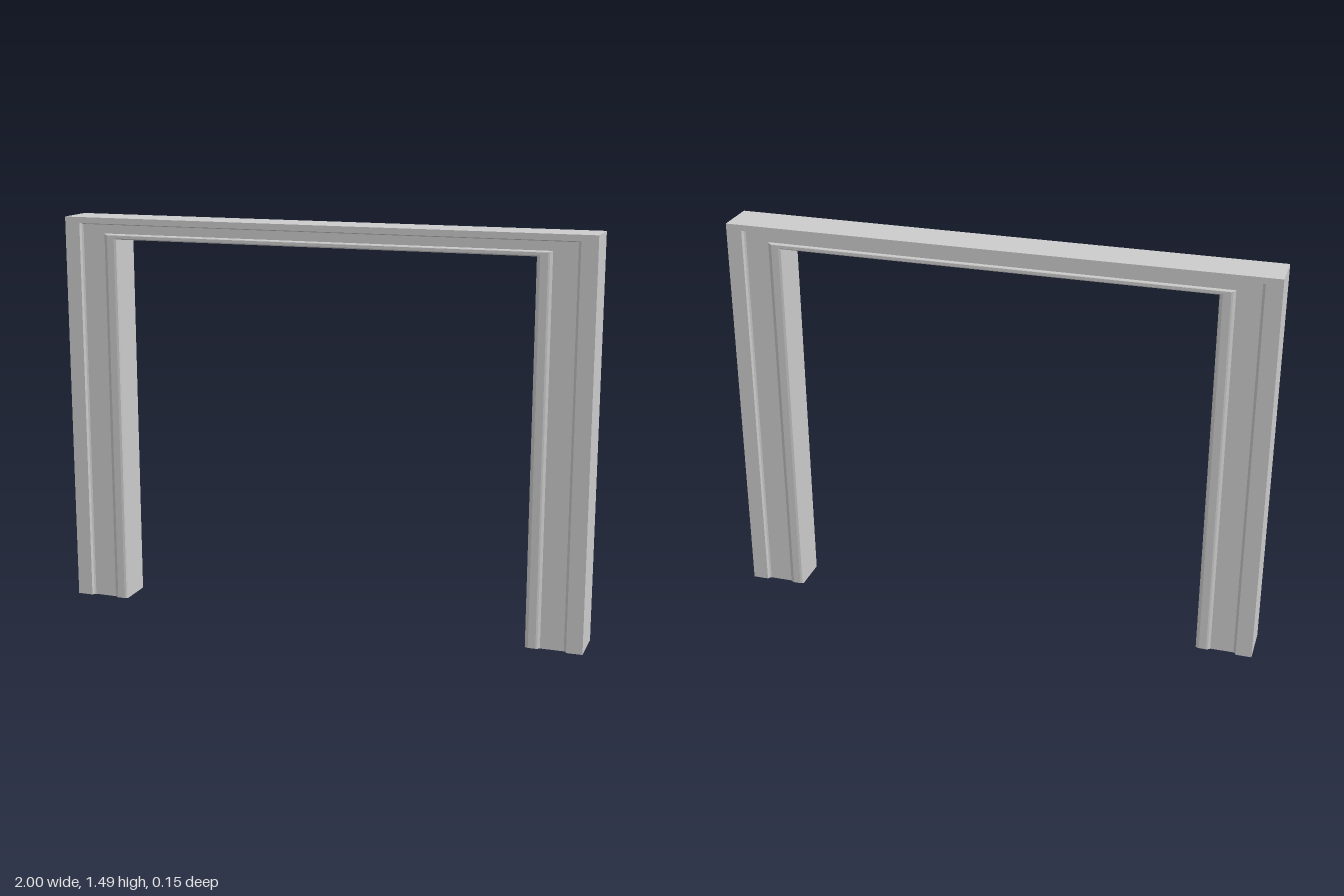
import * as THREE from 'three';

// Moulding from the opening (u = 0) to the outer edge (u = 1), with its half depth
const FRONT = [
  [0, 0.066], [0.02, 0.071], [0.06, 0.073], [0.19, 0.073], [0.22, 0.071],
  [0.26, 0.064], [0.67, 0.064], [0.7, 0.067], [0.72, 0.077], [1, 0.077],
];
const PROFILE = [...FRONT, ...FRONT.map(([u, z]) => [u, -z]).reverse()];
const INNER_X = 0.79, LEG_WIDTH = 0.21;
const INNER_Y = 1.405, HEAD_HEIGHT = 0.08;

// Place the profile at the foot or at the mitred corner of one side
function section(side, atTop) {
  return PROFILE.map(([u, z]) => new THREE.Vector3(
    side * (INNER_X + LEG_WIDTH * u), atTop ? INNER_Y + HEAD_HEIGHT * u : 0, z));
}

// Skin two sections with separate flat faces, open at both ends
function member(name, from, to, material) {
  const points = [];
  from.forEach((a, i) => {
    const j = (i + 1) % from.length;
    points.push(a, from[j], to[j], a, to[j], to[i]);
  });
  const geometry = new THREE.BufferGeometry().setFromPoints(points);
  geometry.computeVertexNormals();
  const mesh = new THREE.Mesh(geometry, material);
  mesh.name = name;
  return mesh;
}

export function createModel() {
  const group = new THREE.Group();
  group.name = 'doorFrame';
  const material = new THREE.MeshStandardMaterial({ color: 0xcccccc, side: THREE.DoubleSide });
  const leftTop = section(1, true), rightTop = section(-1, true);

  group.add(
    member('leftJamb', section(1, false), leftTop, material),
    member('headJamb', leftTop, rightTop, material),
    member('rightJamb', rightTop, section(-1, false), material),
  );
  return group;
}
